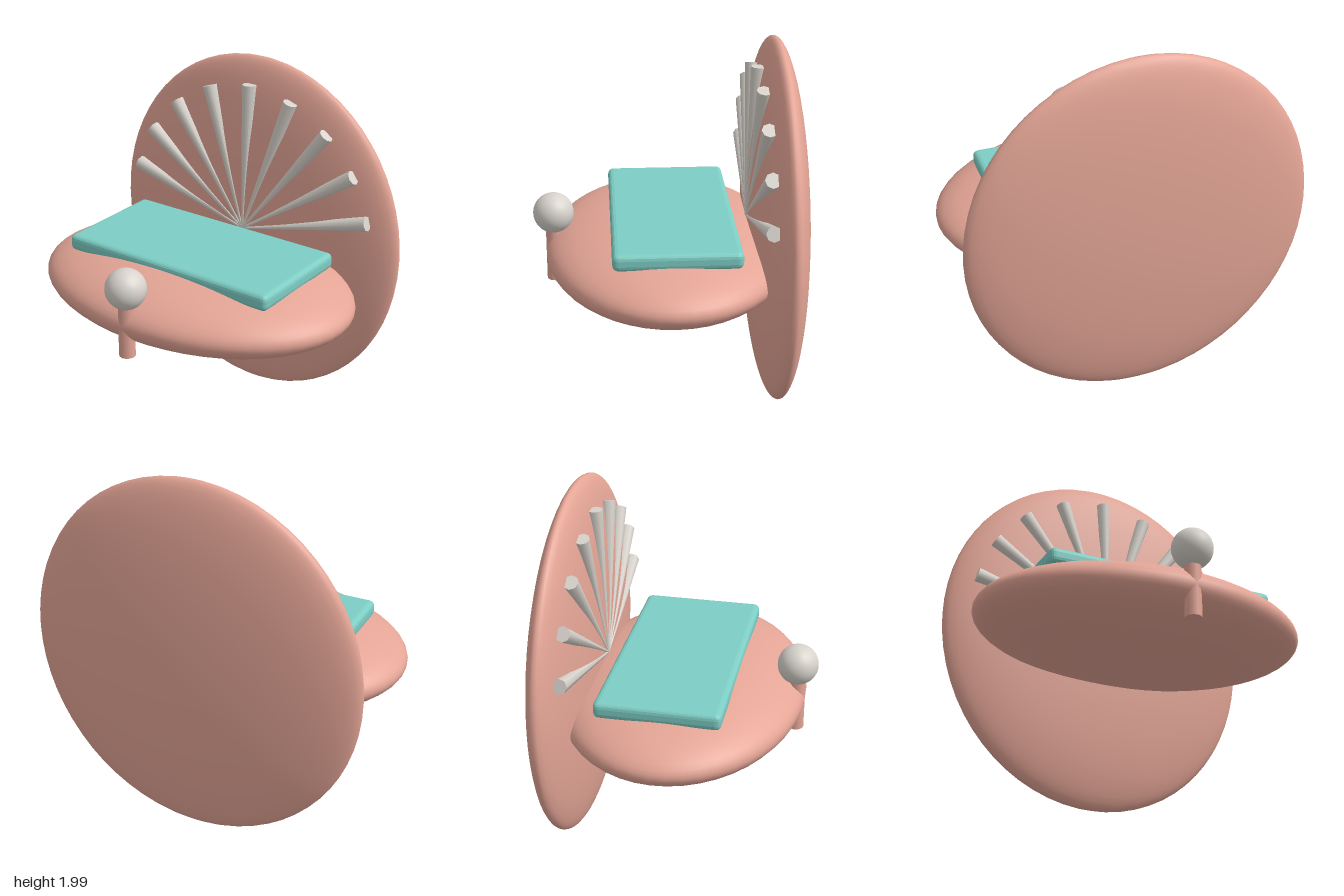
import * as THREE from 'three';
import { RoundedBoxGeometry } from 'three/addons/geometries/RoundedBoxGeometry.js';

const material = (name, color) => {
  const m = new THREE.MeshStandardMaterial({ color });
  m.name = name;
  return m;
};

export function createModel() {
  const model = new THREE.Group();
  model.name = 'shellLounge';
  const coral = material('coral', 0xe4a596);
  const teal = material('teal', 0x7dcdc4);
  const pearlGrey = material('pearlGrey', 0xd8d3cc);

  const add = (name, geometry, mat, x, y, z) => {
    const mesh = new THREE.Mesh(geometry, mat);
    mesh.name = name;
    mesh.position.set(x, y, z);
    model.add(mesh);
    return mesh;
  };

  // Two flattened shell halves: lying seat and upright back
  const ellipsoid = (rx, ry, rz) => new THREE.SphereGeometry(1, 48, 32).scale(rx, ry, rz);
  add('seatShell', ellipsoid(0.92, 0.215, 0.655), coral, 0, 0.86, 0);
  add('backShell', ellipsoid(0.92, 0.995, 0.145), coral, 0, 1.005, -0.575);

  // Cushion
  const cushion = add('cushion', new RoundedBoxGeometry(1.29, 0.09, 0.66, 2, 0.03), teal, 0, 1.04, -0.022);
  cushion.geometry.computeVertexNormals();

  // Tapered ribs fanning over the back shell
  const hub = new THREE.Vector3(0, 1.03, -0.43);
  const up = new THREE.Vector3(0, 1, 0);
  for (let i = -4; i <= 4; i++) {
    const angle = THREE.MathUtils.degToRad(i * 18.7);
    const reach = 0.83 - 0.009 * Math.abs(i);
    const tip = new THREE.Vector3(
      Math.sin(angle) * reach, hub.y + Math.cos(angle) * reach, -0.477);
    const dir = tip.clone().sub(hub);
    const mid = hub.clone().add(tip).multiplyScalar(0.5);
    const rib = add(`rib${i + 5}`, new THREE.CylinderGeometry(0.041, 0.006, dir.length(), 8),
      pearlGrey, mid.x, mid.y, mid.z);
    rib.quaternion.setFromUnitVectors(up, dir.normalize());
  }

  // Pearl on its post at the front rim
  add('pearlPost', new THREE.CylinderGeometry(0.044, 0.044, 0.3, 12), coral, 0, 0.835, 0.611);
  add('pearl', new THREE.SphereGeometry(0.109, 32, 20), pearlGrey, 0, 1.068, 0.611);

  return model;
}
